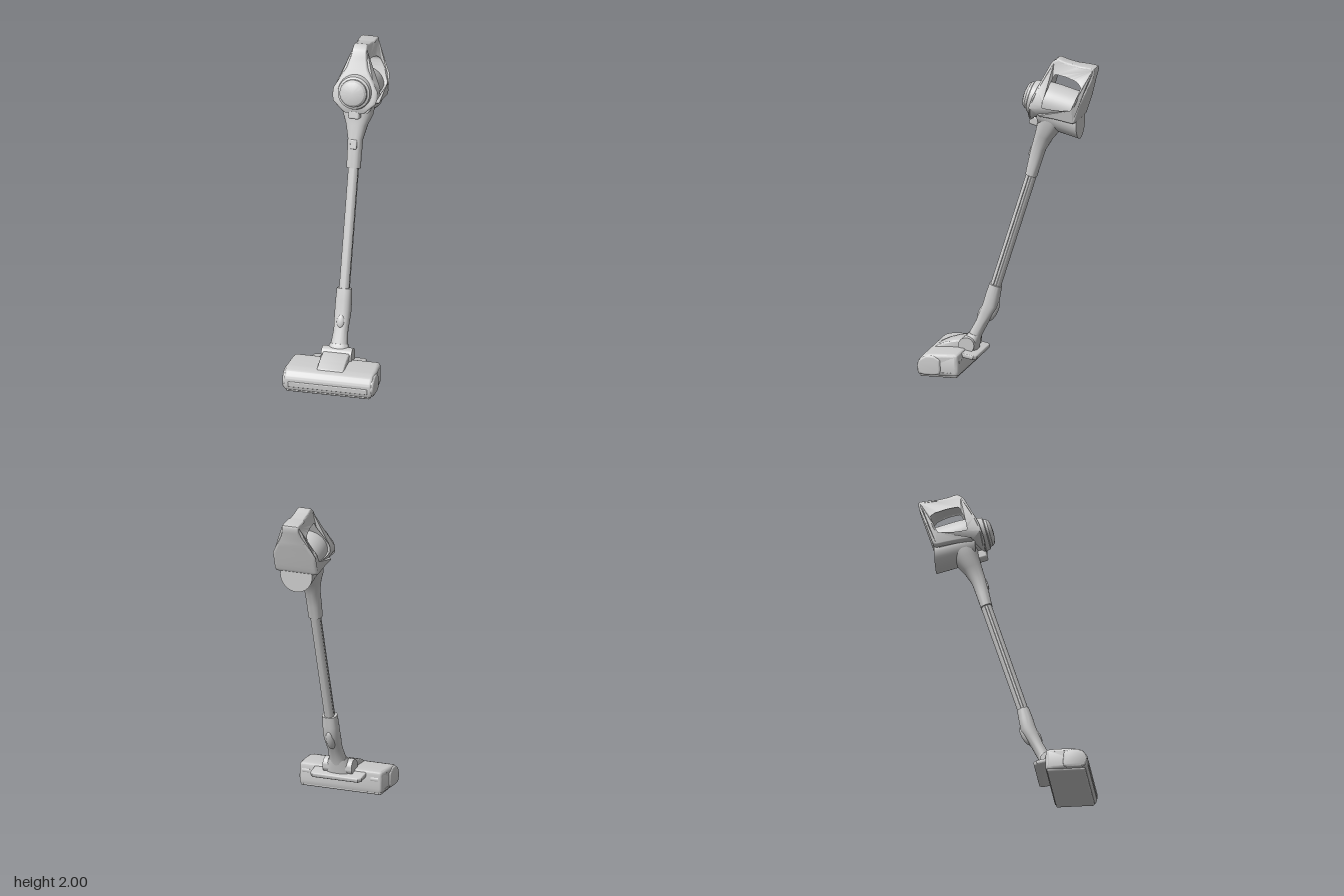
import * as THREE from 'three';
import { toCreasedNormals } from 'three/addons/utils/BufferGeometryUtils.js';
import { RoundedBoxGeometry } from 'three/addons/geometries/RoundedBoxGeometry.js';

const material = new THREE.MeshStandardMaterial({ color: 0xcccccc, side: THREE.DoubleSide });
const { lerp, clamp } = THREE.MathUtils;

function add(parent, name, geometry, x = 0, y = 0, z = 0, rx = 0) {
  const mesh = new THREE.Mesh(geometry, material);
  mesh.name = name;
  mesh.position.set(x, y, z);
  mesh.rotation.x = rx;
  parent.add(mesh);
  return mesh;
}

// Move every vertex by a rule, then rebuild the normals
function deform(geometry, rule, crease = 0.6) {
  const p = geometry.attributes.position, v = new THREE.Vector3();
  for (let i = 0; i < p.count; i++) {
    rule(v.fromBufferAttribute(p, i));
    p.setXYZ(i, v.x, v.y, v.z);
  }
  return toCreasedNormals(geometry, crease);
}

// Smooth closed outline through [z, y] points, seen from the side
function outline(points, samples = 72) {
  const curve = new THREE.CatmullRomCurve3(
    points.map(([z, y]) => new THREE.Vector3(-z, y, 0)), true, 'catmullrom', 0.25);
  return curve.getPoints(samples).slice(0, -1).map(p => new THREE.Vector2(p.x, p.y));
}

// Side profile extruded along x from -halfWidth to halfWidth
function sideExtrude(points, halfWidth, bevel, { hole, bevelSize = bevel } = {}) {
  const shape = new THREE.Shape(outline(points));
  if (hole) shape.holes.push(new THREE.Path(outline(hole)));
  const depth = 2 * (halfWidth - bevel);
  return new THREE.ExtrudeGeometry(shape, {
    depth, bevelThickness: bevel, bevelSize, bevelOffset: -bevelSize, bevelSegments: 4,
  }).translate(0, 0, -depth / 2).rotateY(Math.PI / 2);
}

// Skin over oval sections [y, z, halfX, halfZ], listed from the bottom up
function loft(sections, slope = 0.31, n = 32) {
  const pos = [], index = [], last = (sections.length - 1) * n;
  for (const [y, z, hx, hz] of sections)
    for (let j = 0; j < n; j++) {
      const a = j / n * Math.PI * 2, c = Math.cos(a), s = Math.sin(a);
      const r = (Math.abs(c) ** 2.6 + Math.abs(s) ** 2.6) ** (-1 / 2.6);
      pos.push(hx * c * r, y + slope * hz * s * r, z + hz * s * r);
    }
  const bottom = pos.length / 3, top = bottom + 1;
  for (const [y, z] of [sections[0], sections.at(-1)]) pos.push(0, y, z);
  for (let j = 0; j < n; j++) {
    const k = (j + 1) % n;
    for (let i = 0; i < last; i += n)
      index.push(i + j, i + n + j, i + k, i + k, i + n + j, i + n + k);
    index.push(bottom, j, k, top, last + k, last + j);
  }
  const g = new THREE.BufferGeometry();
  g.setAttribute('position', new THREE.Float32BufferAttribute(pos, 3));
  g.setIndex(index);
  return toCreasedNormals(g, 0.7);
}

// Piecewise linear lookup in [key, value] pairs
function lookup(table, key) {
  for (let i = 1; i < table.length; i++) {
    const [k0, v0] = table[i - 1], [k1, v1] = table[i];
    if (key <= k1) return lerp(v0, v1, clamp((key - k0) / (k1 - k0), 0, 1));
  }
  return table.at(-1)[1];
}

function buildHandUnit() {
  const unit = new THREE.Group();
  unit.name = 'handUnit';

  // Looped frame: wide around the barrel, narrow at the grip
  const outer = [[-0.296, 1.995], [-0.35, 1.978], [-0.42, 1.963], [-0.48, 1.957], [-0.53, 1.948], [-0.53, 1.91],
    [-0.48, 1.765], [-0.435, 1.63], [-0.41, 1.615], [-0.30, 1.635], [-0.19, 1.645], [-0.125, 1.605],
    [-0.125, 1.66], [-0.155, 1.76], [-0.195, 1.85], [-0.255, 1.965]];
  const hole = [[-0.268, 1.895], [-0.29, 1.912], [-0.36, 1.9], [-0.434, 1.873], [-0.466, 1.836], [-0.45, 1.78],
    [-0.41, 1.69], [-0.31, 1.685], [-0.215, 1.7], [-0.228, 1.79]];
  const widths = [[1.6, 0.14], [1.745, 0.14], [1.8, 0.108], [1.87, 0.066], [1.93, 0.05], [2, 0.042]];
  const frame = deform(sideExtrude(outer, 1, 0.18, { hole, bevelSize: 0.012 }), v => {
    let w = lookup(widths, v.y);
    if (v.z > -0.2) w = Math.min(w, lookup([[1.6, 0.055], [1.68, 0.14]], v.y));
    if (v.z < -0.42 && v.y > 1.85) w = Math.max(w, 0.055);
    v.x *= w;
  });
  add(unit, 'handleFrame', frame);

  // Barrel with the stepped dust cup at its front
  const profile = [[0, -0.32], [0.11, -0.32], [0.12, -0.31], [0.122, -0.16], [0.116, -0.07], [0.106, -0.04],
    [0.1, -0.012], [0.086, -0.006], [0.084, 0.008], [0.072, 0.022], [0.05, 0.03], [0, 0.034]];
  const barrel = new THREE.LatheGeometry(profile.map(p => new THREE.Vector2(...p)), 48);
  add(unit, 'dustBarrel', toCreasedNormals(barrel, 0.5), 0, 1.745, -0.112, Math.PI / 2 - 0.26);

  // Round-bottomed lower housing with an upright back face
  const housing = new THREE.CylinderGeometry(0.105, 0.105, 0.25, 40).rotateX(Math.PI / 2);
  add(unit, 'lowerHousing', deform(housing, v => { v.y += v.z * 0.268; }), 0, 1.634, -0.305);

  // Neck flaring into the body, with latch and release button
  add(unit, 'neck', loft([[1.245, -0.12, 0.043, 0.034], [1.33, -0.142, 0.044, 0.038], [1.42, -0.168, 0.046, 0.042],
    [1.5, -0.203, 0.066, 0.054], [1.56, -0.235, 0.092, 0.07], [1.63, -0.255, 0.1, 0.085]]));
  add(unit, 'cupLatch', new RoundedBoxGeometry(0.07, 0.055, 0.11, 3, 0.012), 0, 1.585, -0.17, -0.26);
  add(unit, 'neckButton', new RoundedBoxGeometry(0.042, 0.06, 0.02, 3, 0.008), 0, 1.4, -0.122, -0.31);
  return unit;
}

function buildWand() {
  const wand = new THREE.Group();
  wand.name = 'wand';

  // Tube with a groove down each side
  const from = new THREE.Vector3(0, 0.5, 0.116), to = new THREE.Vector3(0, 1.28, -0.132);
  const tube = deform(new THREE.CylinderGeometry(0.033, 0.033, from.distanceTo(to), 64), v => {
    if (Math.abs(v.z) < 0.008) v.x *= 0.88;
  }, 0.4);
  const mid = from.clone().add(to).multiplyScalar(0.5);
  add(wand, 'tube', tube, 0, mid.y, mid.z, Math.atan2(to.z - from.z, to.y - from.y));

  // Lower socket and its release catches
  add(wand, 'lowerSocket', loft([[0.17, 0.25, 0.055, 0.04], [0.22, 0.232, 0.052, 0.036], [0.3, 0.19, 0.044, 0.035],
    [0.36, 0.16, 0.048, 0.041], [0.41, 0.136, 0.05, 0.045], [0.47, 0.122, 0.049, 0.042], [0.54, 0.104, 0.046, 0.036]]));
  add(wand, 'rearCatch', new THREE.SphereGeometry(1, 24, 16).scale(0.028, 0.07, 0.025), 0, 0.37, 0.118, -0.45);
  add(wand, 'frontButton', new THREE.SphereGeometry(1, 24, 16).scale(0.024, 0.042, 0.014), 0, 0.36, 0.2, -0.4);
  return wand;
}

function buildFloorHead() {
  const head = new THREE.Group();
  head.name = 'floorHead';

  // Main shell, slightly narrower toward the back
  const shell = sideExtrude([[0.272, 0.015], [0.272, 0.14], [0.31, 0.15], [0.38, 0.149], [0.45, 0.145], [0.495, 0.132],
    [0.524, 0.095], [0.528, 0.05], [0.515, 0.015], [0.4, 0.012]], 0.28, 0.022);
  add(head, 'shell', deform(shell, v => { v.x *= lookup([[0.27, 0.97], [0.39, 1]], v.z); }));
  add(head, 'basePlate', new RoundedBoxGeometry(0.53, 0.03, 0.235, 2, 0.01), 0, 0.015, 0.395);
  add(head, 'frontStrip', new RoundedBoxGeometry(0.5, 0.035, 0.02, 2, 0.006), 0, 0.055, 0.522);

  // Roller end caps and rear wheels
  const capProfile = [[0.38, 0.03], [0.382, 0.11], [0.42, 0.135], [0.47, 0.135], [0.51, 0.11], [0.525, 0.07],
    [0.515, 0.03], [0.49, 0.016], [0.41, 0.016]];
  for (const side of [-1, 1]) {
    const cap = toCreasedNormals(sideExtrude(capProfile, 0.02, 0.012), 0.6);
    add(head, 'rollerCap', cap, side * 0.266);
    add(head, 'rearWheel', new THREE.CylinderGeometry(0.022, 0.022, 0.05, 24).rotateZ(Math.PI / 2),
      side * 0.225, 0.1, 0.287);
  }

  // Raised centre cover
  const cover = sideExtrude([[0.29, 0.1], [0.285, 0.18], [0.31, 0.196], [0.36, 0.188], [0.42, 0.168], [0.465, 0.143],
    [0.46, 0.1]], 0.084, 0.012);
  add(head, 'centreCover', toCreasedNormals(cover, 0.6));

  // Swivel joint
  add(head, 'swivelAxle', toCreasedNormals(
    new THREE.CylinderGeometry(0.05, 0.05, 0.19, 36).rotateZ(Math.PI / 2), 0.6), 0, 0.165, 0.267);
  add(head, 'swivelYoke', loft([[0.13, 0.262, 0.085, 0.045], [0.18, 0.252, 0.075, 0.045], [0.225, 0.232, 0.055, 0.036]]));

  // Rear plate carrying the joint
  const plate = new THREE.Shape([[-0.172, -0.11], [0.172, -0.11], [0.168, 0.025], [0.15, 0.045], [-0.15, 0.045],
    [-0.168, 0.025]].map(p => new THREE.Vector2(...p)));
  const plateGeometry = new THREE.ExtrudeGeometry(plate, {
    depth: 0.014, bevelThickness: 0.008, bevelSize: 0.008, bevelOffset: -0.008, bevelSegments: 3,
  }).rotateX(-Math.PI / 2);
  add(head, 'rearPlate', toCreasedNormals(plateGeometry, 0.6), 0, 0.108, 0.23, -0.18);
  return head;
}

export function createModel() {
  const model = new THREE.Group();
  model.name = 'stickVacuum';
  model.add(buildFloorHead(), buildWand(), buildHandUnit());
  return model;
}
